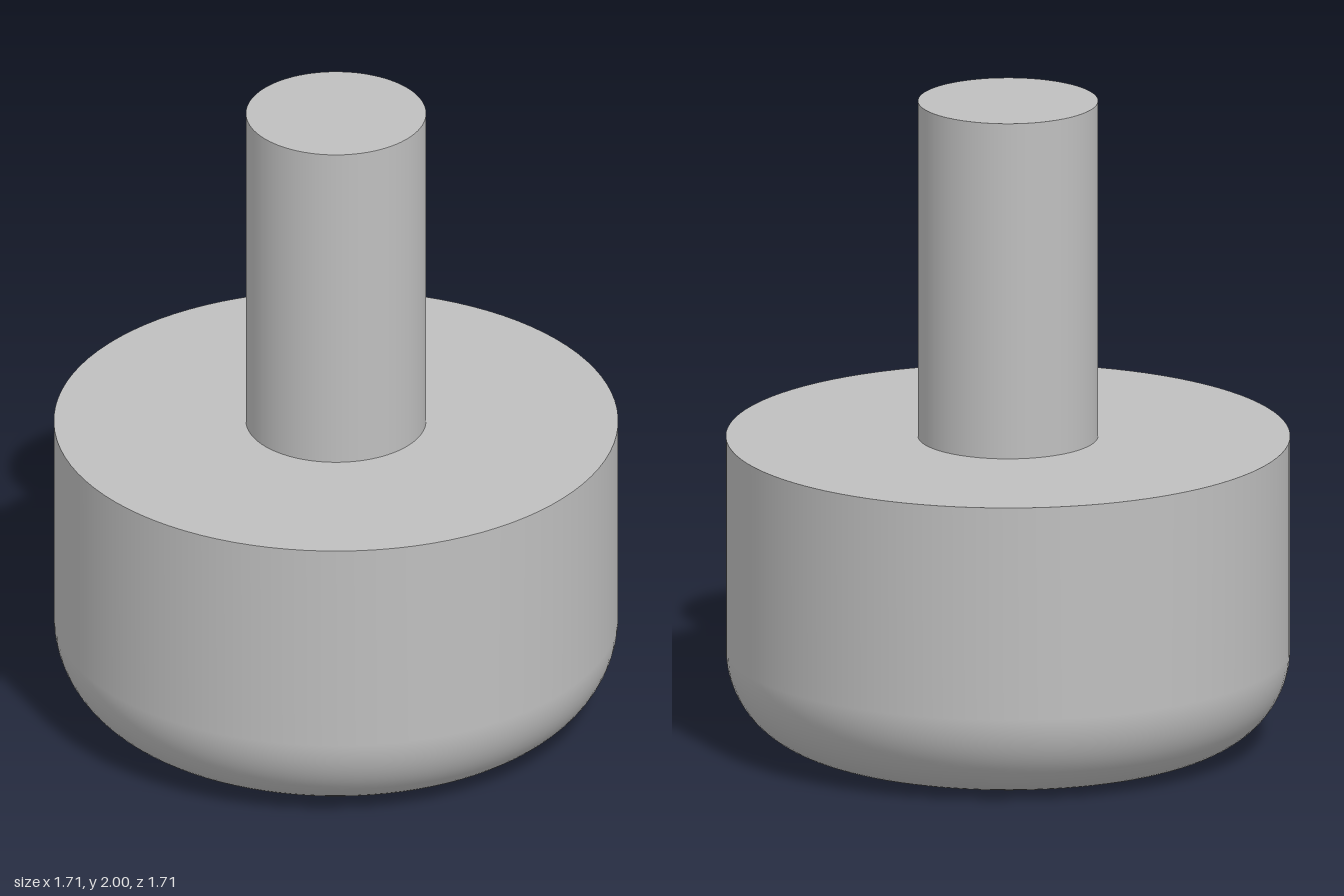
import * as THREE from 'three';

const SEGMENTS = 96;
const BASE_RADIUS = 0.855, BASE_HEIGHT = 0.95, FILLET = 0.285;
const STEM_RADIUS = 0.273, HEIGHT = 2;

export function createModel() {
  const model = new THREE.Group();
  const grey = new THREE.MeshStandardMaterial({ color: 0xbfbfbf });
  grey.name = 'plain grey';

  const addTo = (parent, name, geometry) => {
    const mesh = new THREE.Mesh(geometry, grey);
    mesh.name = name;
    parent.add(mesh);
    return mesh;
  };

  // Base: flat underside, rounded lower edge, straight wall
  const base = new THREE.Group();
  base.name = 'base';
  const inner = BASE_RADIUS - FILLET;
  const profile = [new THREE.Vector2(0, 0)];
  for (let i = 0; i <= 20; i++) {
    const a = (i / 20) * Math.PI / 2;
    profile.push(new THREE.Vector2(inner + FILLET * Math.sin(a), FILLET * (1 - Math.cos(a))));
  }
  profile.push(new THREE.Vector2(BASE_RADIUS, BASE_HEIGHT));
  addTo(base, 'baseBody', new THREE.LatheGeometry(profile, SEGMENTS));

  // Flat shoulder around the stem, kept separate for a sharp rim
  const shoulder = addTo(base, 'baseShoulder', new THREE.RingGeometry(STEM_RADIUS, BASE_RADIUS, SEGMENTS));
  shoulder.rotation.x = -Math.PI / 2;
  shoulder.position.y = BASE_HEIGHT;
  model.add(base);

  // Stem: open tube with a flat top
  const stem = new THREE.Group();
  stem.name = 'stem';
  const length = HEIGHT - BASE_HEIGHT;
  const wall = addTo(stem, 'stemWall', new THREE.CylinderGeometry(STEM_RADIUS, STEM_RADIUS, length, SEGMENTS, 1, true));
  wall.position.y = BASE_HEIGHT + length / 2;
  const cap = addTo(stem, 'stemTop', new THREE.CircleGeometry(STEM_RADIUS, SEGMENTS));
  cap.rotation.x = -Math.PI / 2;
  cap.position.y = HEIGHT;
  model.add(stem);

  return model;
}
